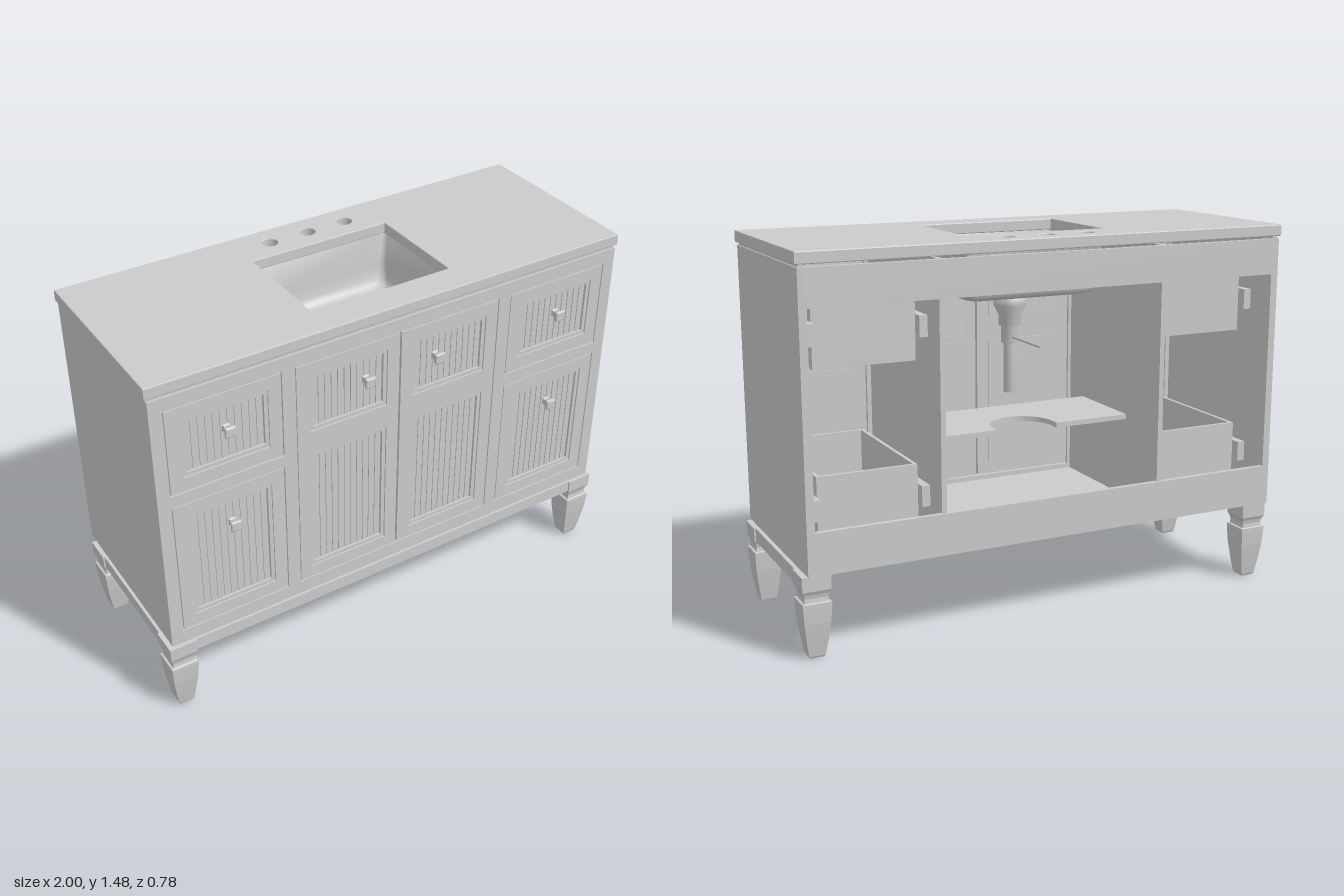
import * as THREE from 'three';

const mat = new THREE.MeshStandardMaterial({ color: 0xcccccc });
const thin = new THREE.MeshStandardMaterial({ color: 0xcccccc, side: THREE.DoubleSide });

export function createModel() {
  const root = new THREE.Group();
  root.name = 'vanityCabinet';

  const add = (name, geo, parent = root, material = mat) => {
    const mesh = new THREE.Mesh(geo, material);
    mesh.name = name;
    parent.add(mesh);
    return mesh;
  };
  // Box given by its limits on each axis
  const box = (name, x0, x1, y0, y1, z0, z1, parent = root) => {
    const geo = new THREE.BoxGeometry(Math.abs(x1 - x0), y1 - y0, z1 - z0);
    geo.translate((x0 + x1) / 2, (y0 + y1) / 2, (z0 + z1) / 2);
    return add(name, geo, parent);
  };
  const rect = (x0, x1, y0, y1, Type = THREE.Shape) =>
    new Type([[x0, y0], [x1, y0], [x1, y1], [x0, y1]].map(p => new THREE.Vector2(...p)));
  // Flat board with rectangular openings, facing +z
  const frame = (name, outer, holes, z0, z1, parent = root) => {
    const shape = rect(...outer);
    holes.forEach(h => shape.holes.push(rect(...h, THREE.Path)));
    const geo = new THREE.ExtrudeGeometry(shape, { depth: z1 - z0, bevelEnabled: false });
    return add(name, geo.translate(0, 0, z0), parent);
  };
  // Square turned profile of [half width, height] pairs
  const squareTurned = profile => {
    const pts = profile.map(([h, y]) => new THREE.Vector2(h * Math.SQRT2, y));
    const geo = new THREE.LatheGeometry(pts, 4).rotateY(Math.PI / 4).toNonIndexed();
    geo.computeVertexNormals();
    return geo;
  };

  // Countertop with basin cut-out and tap holes (shape y is -z)
  const top = rect(-0.993, 0.993, -0.355, 0.39);
  top.holes.push(rect(-0.29, 0.29, -0.225, 0.2, THREE.Path));
  [-0.165, 0, 0.165].forEach(x => top.holes.push(new THREE.Path().absarc(x, 0.295, 0.03, 0, Math.PI * 2)));
  const topGeo = new THREE.ExtrudeGeometry(top, {
    depth: 0.037, bevelThickness: 0.004, bevelSize: 0.004, bevelOffset: -0.004, bevelSegments: 2, curveSegments: 24,
  });
  add('countertop', topGeo.rotateX(-Math.PI / 2).translate(0, 1.434, 0));

  // Basin: loft of rounded rectangles [half x, half z, corner radius, y]
  const rings = [
    [0.32, 0.24, 0.03, 1.43], [0.293, 0.215, 0.02, 1.43], [0.285, 0.207, 0.025, 1.3],
    [0.277, 0.2, 0.03, 1.25], [0.265, 0.188, 0.035, 1.228], [0.24, 0.165, 0.04, 1.22], [0.04, 0.04, 0.04, 1.21],
  ];
  const pos = [], idx = [], n = 24;
  rings.forEach(([hx, hz, r, y], i) => {
    for (let k = 0; k < n; k++) {
      const q = Math.floor(k / 6), a = (q + (k % 6) / 5) * Math.PI / 2;
      const sx = q === 0 || q === 3 ? 1 : -1, sz = q < 2 ? 1 : -1;
      pos.push(sx * (hx - r) + r * Math.cos(a), y, 0.0125 + sz * (hz - r) + r * Math.sin(a));
      if (i) {
        const a0 = (i - 1) * n + k, a1 = (i - 1) * n + (k + 1) % n;
        idx.push(a0, a1, a0 + n, a1, a1 + n, a0 + n);
      }
    }
  });
  const bowl = new THREE.BufferGeometry();
  bowl.setAttribute('position', new THREE.Float32BufferAttribute(pos, 3));
  bowl.setIndex(idx);
  bowl.computeVertexNormals();
  add('basin', bowl, root, thin);
  add('overflowRing', new THREE.TorusGeometry(0.018, 0.004, 8, 20)).position.set(0, 1.366, 0.218);

  // Drain, tail pipe and pop-up rod
  const drain = [[0.001, 1.212], [0.022, 1.212], [0.03, 1.218], [0.042, 1.214], [0.045, 1.208], [0.065, 1.205],
    [0.065, 1.17], [0.045, 1.13], [0.045, 1.09], [0.034, 1.085], [0.034, 1.02], [0.026, 1.015], [0.026, 0.82], [0.001, 0.82]];
  add('drain', new THREE.LatheGeometry(drain.map(p => new THREE.Vector2(...p)), 24), root, thin).position.z = 0.015;
  add('popUpRod', new THREE.CylinderGeometry(0.006, 0.006, 0.265, 10).rotateX(Math.PI / 2)).position.set(0, 1.045, -0.118);

  // Carcass
  box('underTopStrip', -0.98, 0.98, 1.418, 1.432, 0.3, 0.348);
  box('backTopRail', -0.955, 0.955, 1.28, 1.42, -0.388, -0.368);
  box('backBottomRail', -0.955, 0.955, 0.33, 0.49, -0.388, -0.368);
  box('floor', -0.955, 0.955, 0.335, 0.365, -0.37, 0.335);
  for (const s of [-1, 1]) {
    box('sidePanel', s * 0.955, s * 0.985, 0.33, 1.42, -0.388, 0.335);
    box('sideTopStrip', s * 0.96, s * 0.98, 1.418, 1.432, -0.38, 0.3);
    box('partition', s * 0.45, s * 0.47, 0.365, 1.42, -0.38, 0.335);
  }

  // Face frame with drawer and door openings
  frame('faceFrame', [-0.985, 0.985, 0.33, 1.42], [
    [-0.935, -0.488, 1.01, 1.365], [-0.935, -0.488, 0.385, 0.96],
    [0.488, 0.935, 1.01, 1.365], [0.488, 0.935, 0.385, 0.96],
    [-0.436, 0.436, 0.385, 1.365],
  ], 0.33, 0.355);

  // Shelf with a rounded notch for the pipe (shape y is -z)
  const shelf = new THREE.Shape().moveTo(-0.45, -0.22).lineTo(0.45, -0.22).lineTo(0.45, 0.14).lineTo(0.13, 0.14)
    .lineTo(0.13, 0.1).absarc(0, 0.1, 0.13, 0, Math.PI, true).lineTo(-0.13, 0.14).lineTo(-0.45, 0.14);
  add('shelf', new THREE.ExtrudeGeometry(shelf, { depth: 0.02, bevelEnabled: false, curveSegments: 16 })
    .rotateX(-Math.PI / 2).translate(0, 0.69, 0));

  // Framed front with beadboard panels and a square knob
  const knobGeo = squareTurned([[0.001, 0], [0.014, 0], [0.01, 0.008], [0.02, 0.03], [0.02, 0.037], [0.016, 0.04], [0.001, 0.04]])
    .rotateX(Math.PI / 2);
  const front = (name, x0, x1, y0, y1, panels, kx, ky) => {
    const g = new THREE.Group();
    g.name = name;
    root.add(g);
    const e = 0.004, w = 0.055, lip = 0.015;
    const px0 = x0 + w, px1 = x1 - w;
    const holes = panels.map(([a, b]) => [px0, px1, a, b]);
    frame('frontFrame', [x0 + e, x1 - e, y0 + e, y1 - e], holes, 0.333, 0.354, g);
    for (const h of holes) {
      const [a, b, c, d] = h, inner = [a + lip, b - lip, c + lip, d - lip];
      frame('panelMoulding', h, [inner], 0.333, 0.348, g);
      box('panelBack', a, b, c, d, 0.328, 0.336, g);
      const count = Math.round((inner[1] - inner[0]) / 0.028), step = (inner[1] - inner[0]) / count;
      for (let i = 0; i < count; i++) {
        const bx = inner[0] + i * step;
        box('bead', bx + 0.002, bx + step - 0.002, inner[2], inner[3], 0.336, 0.34, g);
      }
    }
    const knob = add('knob', knobGeo, g);
    knob.position.set(kx, ky, 0.354);
    return g;
  };

  // Drawer box, open above, running on a pair of slides
  const drawerBox = (x0, x1, y0, y1) => {
    const g = new THREE.Group(), t = 0.014, zb = -0.25;
    g.name = 'drawerBox';
    root.add(g);
    box('drawerBottom', x0, x1, y0, y0 + t, zb, 0.33, g);
    box('drawerBack', x0, x1, y0, y1, zb, zb + t, g);
    box('drawerInnerFront', x0, x1, y0, y1, 0.33 - t, 0.33, g);
    box('drawerSide', x0, x0 + t, y0, y1, zb, 0.33, g);
    box('drawerSide', x1 - t, x1, y0, y1, zb, 0.33, g);
    const ym = (y0 + y1) / 2;
    box('drawerSlide', x0 - 0.032, x0, ym - 0.04, ym + 0.04, -0.29, 0.32, g);
    box('drawerSlide', x1, x1 + 0.032, ym - 0.04, ym + 0.04, -0.29, 0.32, g);
  };

  for (const s of [-1, 1]) {
    const span = (a, b) => (s > 0 ? [a, b] : [-b, -a]);
    front('topDrawerFront', ...span(0.488, 0.935), 1.01, 1.365, [[1.07, 1.31]], s * 0.71, 1.22);
    front('bottomDrawerFront', ...span(0.488, 0.935), 0.385, 0.96, [[0.44, 0.905]], s * 0.71, 0.81);
    front('door', ...span(0, 0.436), 0.385, 1.365, [[0.44, 0.97], [1.07, 1.31]], s * 0.15, 1.22);
    drawerBox(...span(0.51, 0.9), 1.04, 1.3);
    drawerBox(...span(0.51, 0.9), 0.42, 0.65);
  }

  // Base: plinth strip, aprons and corner blocks
  box('plinthFront', -0.975, 0.975, 0.318, 0.335, 0.3, 0.348);
  box('frontApron', -0.9, 0.9, 0.268, 0.32, 0.335, 0.358);
  for (const x of [-0.7, -0.25, 0.25, 0.7]) box('glueBlock', x - 0.06, x + 0.06, 0.295, 0.335, 0.31, 0.336);
  for (const s of [-1, 1]) {
    box('plinthSide', s * 0.93, s * 0.975, 0.318, 0.335, -0.34, 0.3);
    box('sideApron', s * 0.97, s * 0.993, 0.265, 0.32, -0.26, 0.27);
    box('sideGlueBlock', s * 0.945, s * 0.971, 0.295, 0.335, -0.1, 0.1);
  }

  // Square legs with a coved neck and tapering foot
  const legGeo = squareTurned([[0.001, 0], [0.027, 0], [0.031, 0.008], [0.041, 0.07], [0.05, 0.14], [0.054, 0.2], [0.054, 0.216],
    [0.046, 0.219], [0.044, 0.235], [0.047, 0.25], [0.054, 0.264], [0.055, 0.32], [0.001, 0.32]]);
  for (const x of [-0.945, 0.945]) {
    for (const z of [0.31, -0.303]) add('leg', legGeo).position.set(x, 0, z);
  }

  return root;
}
